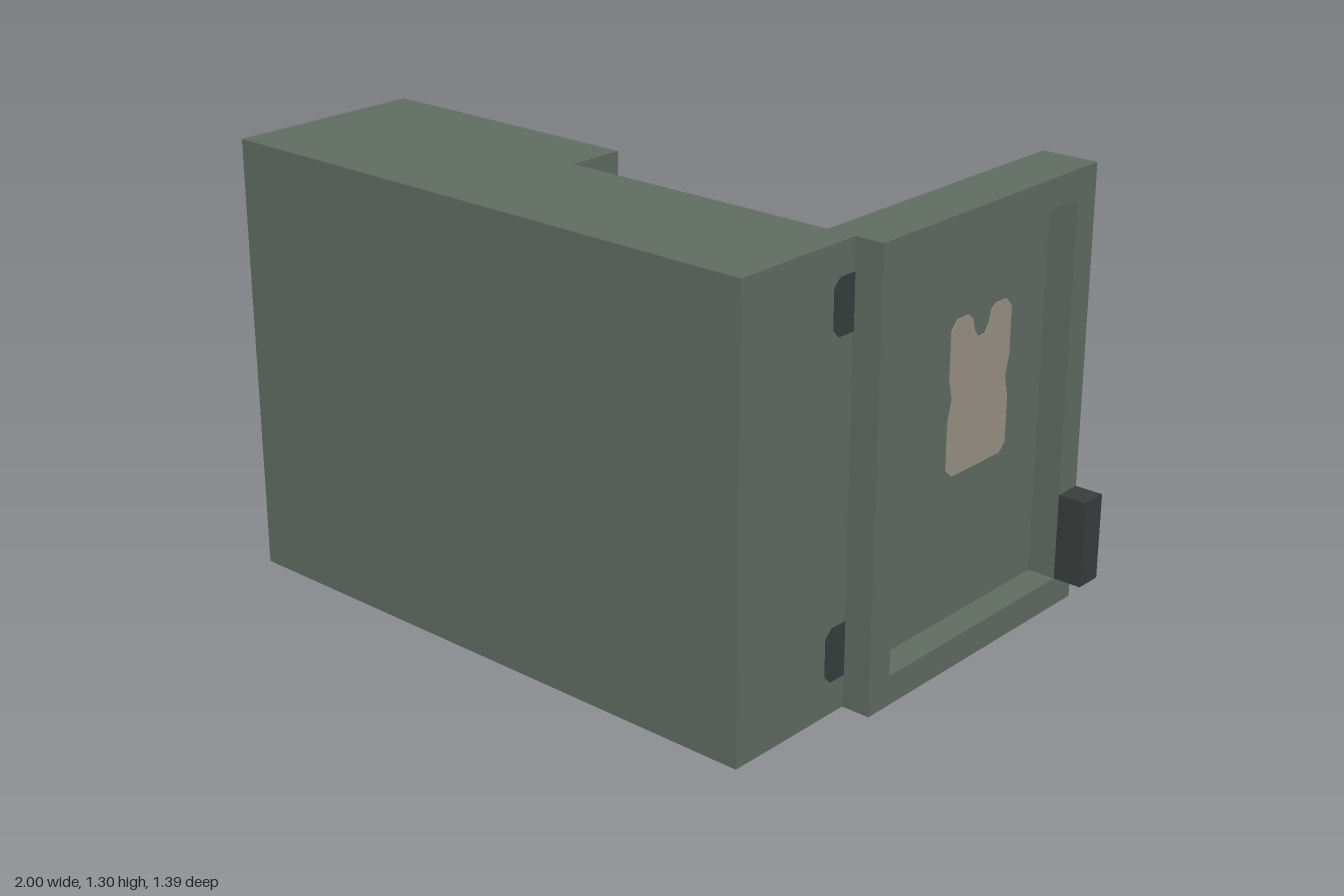
import * as THREE from 'three';

const mat = (name, color) => {
  const m = new THREE.MeshStandardMaterial({ color });
  m.name = name;
  return m;
};

export function createModel() {
  const green = mat('cabinet green', 0x5f6b61);
  const dark = mat('dark metal', 0x363d3c);
  const beige = mat('beige', 0x989085);

  // everything is laid out in small grid units, 23 units wide
  const model = new THREE.Group();
  model.name = 'cabinet';
  model.scale.setScalar(2 / 23);

  const add = (parent, name, geometry, material) => {
    const mesh = new THREE.Mesh(geometry, material);
    mesh.name = name;
    parent.add(mesh);
    return mesh;
  };

  // box given by its lowest and highest corners
  const box = (parent, name, material, [x0, y0, z0], [x1, y1, z1]) => {
    const mesh = add(parent, name, new THREE.BoxGeometry(x1 - x0, y1 - y0, z1 - z0), material);
    mesh.position.set((x0 + x1) / 2, (y0 + y1) / 2, (z0 + z1) / 2);
    return mesh;
  };

  const rect = (path, x0, y0, x1, y1) =>
    path.moveTo(x0, y0).lineTo(x1, y0).lineTo(x1, y1).lineTo(x0, y1).closePath();

  // rectangular frame with an even border, extruded along z
  const frame = (x0, y0, x1, y1, border, depth) => {
    const shape = rect(new THREE.Shape(), x0, y0, x1, y1);
    shape.holes.push(rect(new THREE.Path(), x0 + border, y0 + border, x1 - border, y1 - border));
    return new THREE.ExtrudeGeometry(shape, { depth, bevelEnabled: false });
  };

  // carcass: hollow shell, back panel and middle shelf
  add(model, 'cabinetShell', frame(-11.5, 0, 9.5, 15, 1, 4), green).position.z = 3;
  box(model, 'backPanel', green, [-11.5, 0, 7], [9.5, 15, 8]);
  box(model, 'shelf', green, [-10.5, 7, 3], [8.5, 8, 7]);

  // door: flat inside, recessed panel outside (+z), handle block at one edge
  const door = (name, width, handleX) => {
    const group = new THREE.Group();
    group.name = name;
    box(group, 'doorPanel', green, [0, 0, 0], [width, 15, 1]);
    add(group, 'doorFrame', frame(0, 0, width, 15, 1, 1), green).position.z = 1;
    box(group, 'handle', dark, [handleX, 1, 2], [handleX + 1, 4, 3]);
    model.add(group);
    return group;
  };

  const closedDoor = door('closedDoor', 10, 0);
  closedDoor.rotation.y = Math.PI;
  closedDoor.position.set(-1.5, 0, 3);

  const openDoor = door('openDoor', 11, 10);
  openDoor.rotation.y = Math.PI / 2;
  openDoor.position.set(8.5, 0, 3);

  // vest-shaped patch showing on both faces of the open door's panel
  const half = [[0, 5.92], [1.3, 5.92], [1.6, 6.2], [1.6, 7.8], [1.43, 8.5], [1.6, 9.2],
    [1.6, 10.8], [1.3, 11.12], [0.75, 11.12], [0.5, 10.95], [0.38, 10.55], [0.2, 10.28], [0, 10.25]];
  const mirrored = half.slice(1, -1).reverse().map(([x, y]) => [-x, y]);
  const outline = [...half, ...mirrored].map(([x, y]) => new THREE.Vector2(x + 6.51, y));
  const patch = new THREE.ExtrudeGeometry(new THREE.Shape(outline), { depth: 1.06, bevelEnabled: false });
  add(openDoor, 'patch', patch, beige).position.z = -0.03;

  // hinge plates with clipped corners, showing on both faces of the side wall
  const hingeShape = new THREE.Shape(
    [[0, 0], [0.65, 0], [0.92, 0.25], [0.92, 1.55], [0.65, 1.8], [0, 1.8]]
      .map(([x, y]) => new THREE.Vector2(x, y)));
  const hingeGeometry = new THREE.ExtrudeGeometry(hingeShape, { depth: 1.06, bevelEnabled: false });
  for (const y of [1.1, 12.15]) {
    const hinge = add(model, 'hinge', hingeGeometry, dark);
    hinge.rotation.y = -Math.PI / 2;
    hinge.position.set(9.53, y, 3);
  }

  // lower compartment: box with a square opening on top, and a larger box
  box(model, 'openBoxBase', beige, [4.6, 1, 3.4], [7.6, 2, 6.4]);
  const rim = add(model, 'openBoxRim', frame(0, 0, 3, 3, 0.9, 1), beige);
  rim.rotation.x = -Math.PI / 2;
  rim.position.set(4.6, 2, 6.4);
  box(model, 'largeBox', beige, [-0.5, 1, 3.05], [3.5, 3, 7]);

  // upper shelf: stacked boxes, a slim box and a green case with dark front
  box(model, 'stackBox', beige, [4.6, 8, 4.2], [6.6, 10, 6.2]);
  box(model, 'stackTop', beige, [4.5, 10, 4.95], [5.4, 11, 5.95]);
  box(model, 'slimBox', beige, [2.65, 8, 4.2], [3.55, 10, 5.2]);
  box(model, 'case', green, [-0.7, 8, 4.4], [1.8, 10, 6.4]);
  box(model, 'caseFront', dark, [-0.4, 8.35, 4.32], [1.5, 9.6, 4.41]);

  const root = new THREE.Group();
  root.add(model);
  return root;
}
